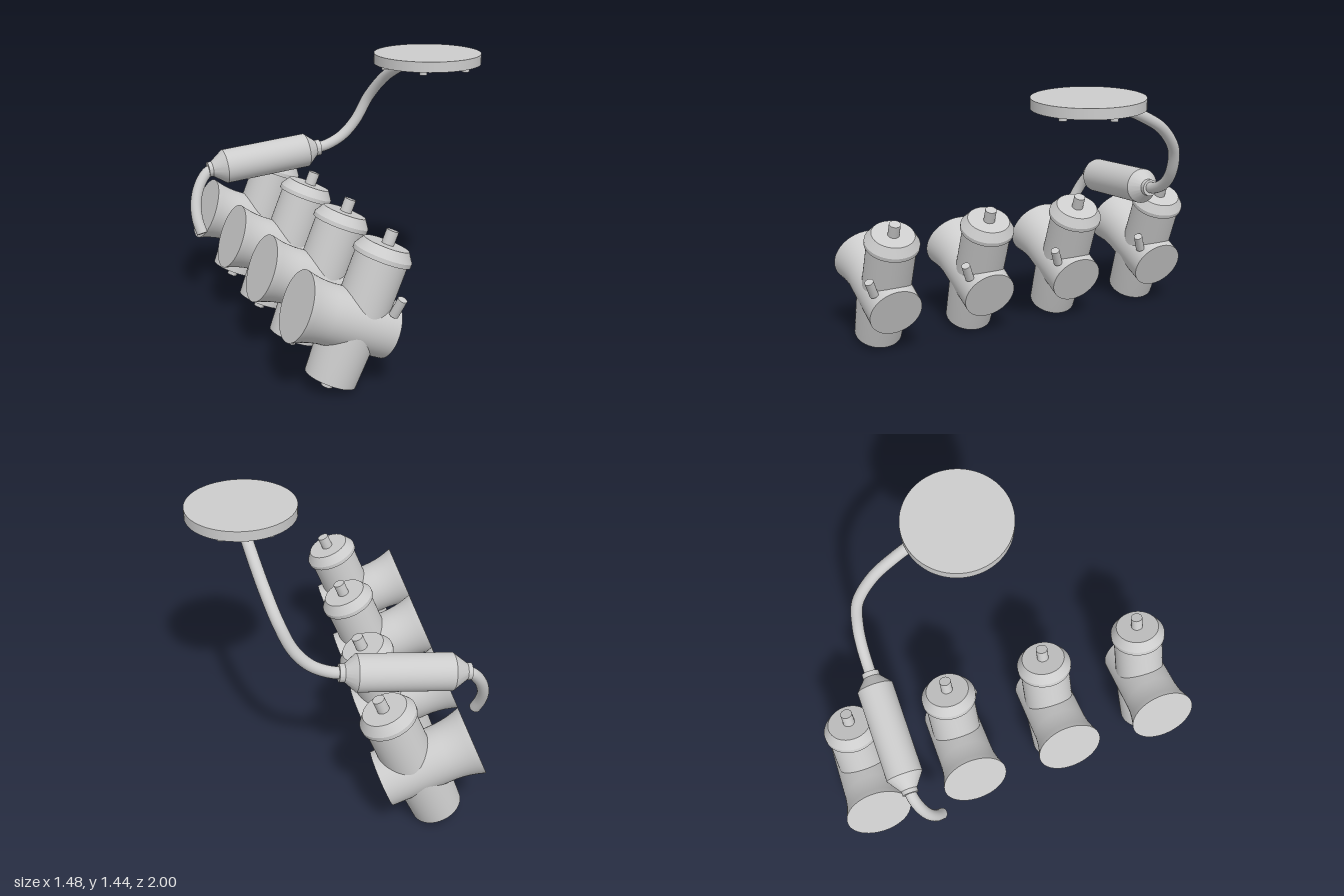
import * as THREE from 'three';
import { toCreasedNormals } from 'three/addons/utils/BufferGeometryUtils.js';

const metal = new THREE.MeshStandardMaterial({ color: 0xcccccc });
metal.name = 'grey metal';
const V = (x, y, z) => new THREE.Vector3(x, y, z);
const UP = V(0, 1, 0);

function add(parent, name, geometry) {
  const mesh = new THREE.Mesh(geometry, metal);
  mesh.name = name;
  parent.add(mesh);
  return mesh;
}

// Closed solid of revolution about y, profile given bottom to top as [radius, y]
function turned(profile, sides = 48) {
  const pts = [[0, profile[0][1]], ...profile, [0, profile.at(-1)[1]]];
  const lathe = new THREE.LatheGeometry(pts.map(([r, y]) => new THREE.Vector2(r, y)), sides);
  return toCreasedNormals(lathe, 0.4);
}

// Cylinder between two points
function rod(parent, name, a, b, radius, sides = 20) {
  const mesh = add(parent, name, new THREE.CylinderGeometry(radius, radius, a.distanceTo(b), sides));
  mesh.position.copy(a).add(b).multiplyScalar(0.5);
  mesh.quaternion.setFromUnitVectors(UP, b.clone().sub(a).normalize());
  return mesh;
}

// Bent pipe with a flat cap on its free end
function pipe(parent, name, points, radius) {
  const curve = new THREE.CatmullRomCurve3(points);
  add(parent, name, new THREE.TubeGeometry(curve, 48, radius, 20));
  const cap = add(parent, name + 'End', new THREE.CircleGeometry(radius, 20));
  cap.position.copy(curve.getPoint(1));
  cap.quaternion.setFromUnitVectors(V(0, 0, 1), curve.getTangent(1));
}

// One tilted carburettor; its local y is the slide axis and local x the bore
function carburettor(z) {
  const g = new THREE.Group();
  g.name = 'carburettor';
  g.position.set(-0.4225, 0.0575, z);
  g.rotation.z = -22 * Math.PI / 180;

  add(g, 'floatBowl', turned([[0.13, -0.008], [0.14, 0.2], [0.14, 0.297]])).position.x = 0.003;
  rod(g, 'drainPlug', V(0, -0.052, 0), V(0, 0.02, 0), 0.029, 6);

  // Bore with a flared intake
  const bore = add(g, 'bore', turned([
    [0.177, -0.298], [0.174, -0.285], [0.167, -0.262], [0.159, -0.23],
    [0.153, -0.195], [0.149, -0.155], [0.146, 0.195]
  ]));
  bore.rotation.z = -Math.PI / 2;
  bore.position.y = 0.297;

  // Slide chamber with bevelled cap and cable stem
  add(g, 'slideChamber', turned([[0.133, 0.297], [0.133, 0.64]])).position.x = 0.03;
  add(g, 'cap', turned([[0.147, 0.63], [0.147, 0.652], [0.115, 0.7]])).position.x = 0.03;
  rod(g, 'cableStem', V(0.035, 0.68, 0), V(0.035, 0.77, 0), 0.031);

  rod(g, 'idleScrew', V(0.14, 0.4, 0.115), V(0.135, 0.492, 0.15), 0.024);
  return g;
}

export function createModel() {
  const model = new THREE.Group();
  model.name = 'carburettorSet';

  for (const z of [-0.823, -0.274, 0.274, 0.823]) model.add(carburettor(z));

  // Exhaust canister, lying along x with a slight rise
  const canister = add(model, 'canister', turned([
    [0.043, -0.345], [0.043, -0.322], [0.097, -0.247],
    [0.097, 0.247], [0.046, 0.306], [0.046, 0.334]
  ]));
  canister.position.set(-0.272, 0.768, -0.635);
  canister.rotation.z = -Math.PI / 2 + 0.102;

  pipe(model, 'tailPipe', [
    V(-0.58, 0.737, -0.635), V(-0.625, 0.715, -0.632), V(-0.675, 0.65, -0.612),
    V(-0.707, 0.56, -0.577), V(-0.711, 0.475, -0.538), V(-0.695, 0.4, -0.503)
  ], 0.031);

  pipe(model, 'inletPipe', [
    V(0.03, 0.8, -0.635), V(0.1, 0.812, -0.635), V(0.2, 0.862, -0.632), V(0.28, 0.95, -0.62),
    V(0.345, 1.09, -0.585), V(0.395, 1.22, -0.476), V(0.425, 1.3, -0.345), V(0.45, 1.368, -0.2)
  ], 0.031);

  // Round mounting plate with six bolts underneath
  const plate = new THREE.Group();
  plate.name = 'mountingPlate';
  plate.position.set(0.45, 1.385, 0);
  model.add(plate);
  add(plate, 'disc', new THREE.CylinderGeometry(0.288, 0.288, 0.055, 64)).position.y = 0.0275;
  for (let i = 0; i < 6; i++) {
    const a = i * Math.PI / 3;
    const x = 0.245 * Math.cos(a), z = 0.245 * Math.sin(a);
    rod(plate, 'bolt', V(x, -0.02, z), V(x, 0.01, z), 0.02, 16);
  }
  return model;
}
